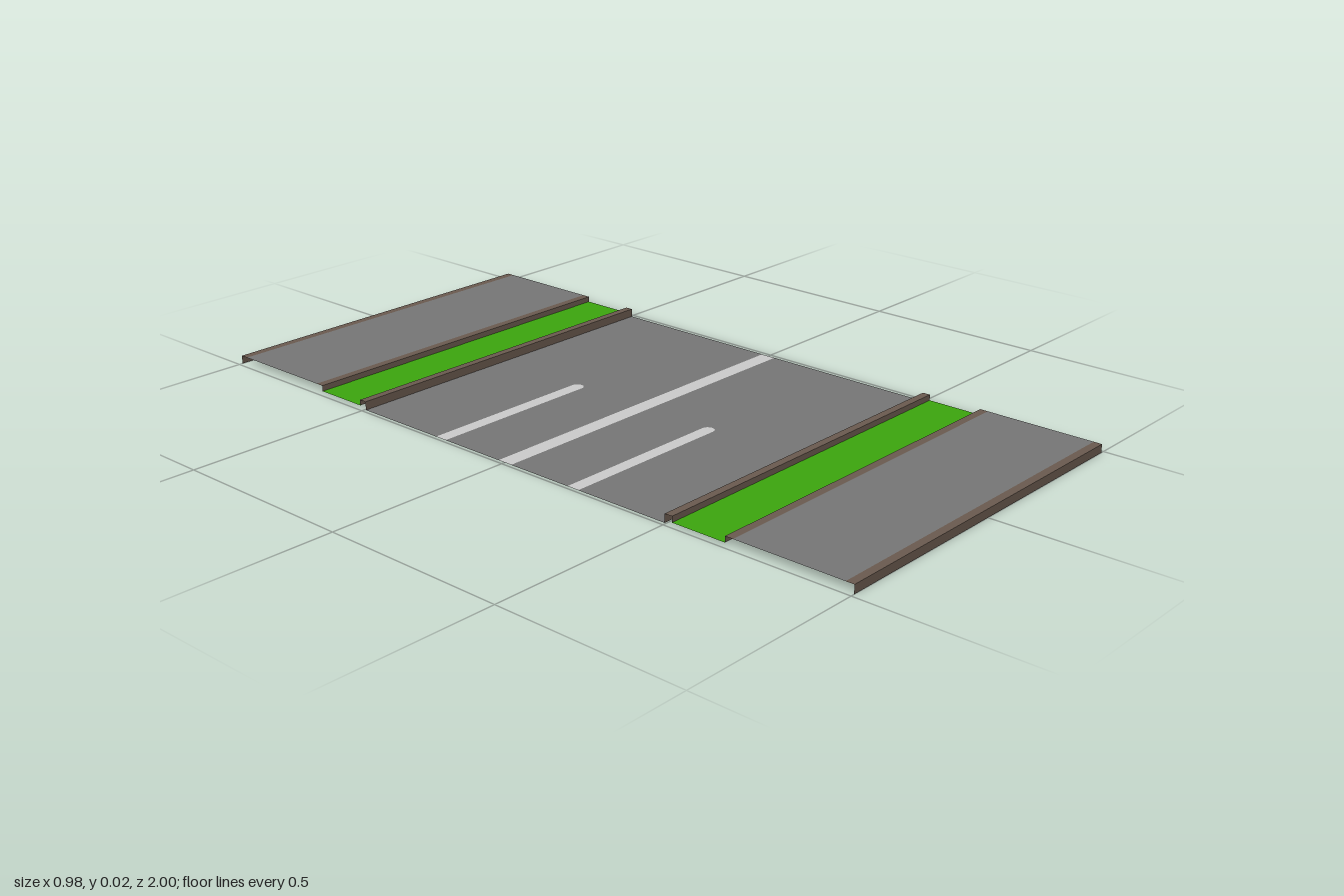
import * as THREE from 'three';

const X = 0.49;          // half length of the street along x
const TOP = 0.022;       // kerb and pavement height
const GRASS = 0.007;     // verge height
const LINE = { z: 0.22, half: 0.017, end: -0.02 };
const MID = 0.021;       // half width of the centre line
const EDGE = 0.496;      // road edge

const paint = (name, color) => {
  const m = new THREE.MeshStandardMaterial({ color, side: THREE.DoubleSide });
  m.name = name;
  return m;
};

// Open sheet swept along x from a [z, y] cross-section, mirrored for side -1
function sheet(profile, side) {
  const pts = side > 0 ? profile : profile.map(([z, y]) => [-z, y]).reverse();
  const pos = [];
  for (let i = 0; i < pts.length - 1; i++) {
    const [z0, y0] = pts[i], [z1, y1] = pts[i + 1];
    pos.push(-X, y0, z0, -X, y1, z1, X, y1, z1, -X, y0, z0, X, y1, z1, X, y0, z0);
  }
  const g = new THREE.BufferGeometry();
  g.setAttribute('position', new THREE.Float32BufferAttribute(pos, 3));
  g.computeVertexNormals();
  return g;
}

// Flat outline laid on the ground
function flat(points, side) {
  const shape = new THREE.Shape(points.map(([x, z]) => new THREE.Vector2(x, -z * side)));
  return new THREE.ShapeGeometry(shape).rotateX(-Math.PI / 2);
}

export function createModel() {
  const root = new THREE.Group();
  root.name = 'streetSection';
  const asphalt = paint('asphalt grey', 0x777777);
  const kerb = paint('kerb brown', 0x6b5b50);
  const grass = paint('grass green', 0x3ca60e);
  const white = paint('marking white', 0xcccccc);

  const add = (name, geometry, material) => {
    const mesh = new THREE.Mesh(geometry, material);
    mesh.name = name;
    root.add(mesh);
  };

  // Lane marking outline with a rounded inner end
  const marking = [[-X, LINE.z - LINE.half]];
  for (let i = 0; i <= 8; i++) {
    const a = -Math.PI / 2 + (i / 8) * Math.PI;
    marking.push([LINE.end + LINE.half * Math.cos(a), LINE.z + LINE.half * Math.sin(a)]);
  }
  marking.push([-X, LINE.z + LINE.half]);

  add('centreLine', sheet([[-MID, 0], [MID, 0]], 1), white);

  for (const side of [1, -1]) {
    const tag = side > 0 ? 'Front' : 'Back';
    // Carriageway half, notched around its marking
    add('road' + tag, flat([[-X, MID], ...marking, [-X, EDGE], [X, EDGE], [X, MID]], side), asphalt);
    add('laneMarking' + tag, flat(marking, side), white);
    // Kerbs, verge and pavement
    add('roadKerb' + tag, sheet([[EDGE, 0], [EDGE, TOP], [0.517, TOP], [0.517, GRASS]], side), kerb);
    add('verge' + tag, sheet([[0.517, GRASS], [0.665, GRASS]], side), grass);
    add('innerKerb' + tag, sheet([[0.665, GRASS], [0.665, TOP], [0.687, TOP]], side), kerb);
    add('pavement' + tag, sheet([[0.687, TOP], [0.978, TOP]], side), asphalt);
    add('outerKerb' + tag, sheet([[0.978, TOP], [1, TOP], [1, 0]], side), kerb);
  }
  return root;
}
